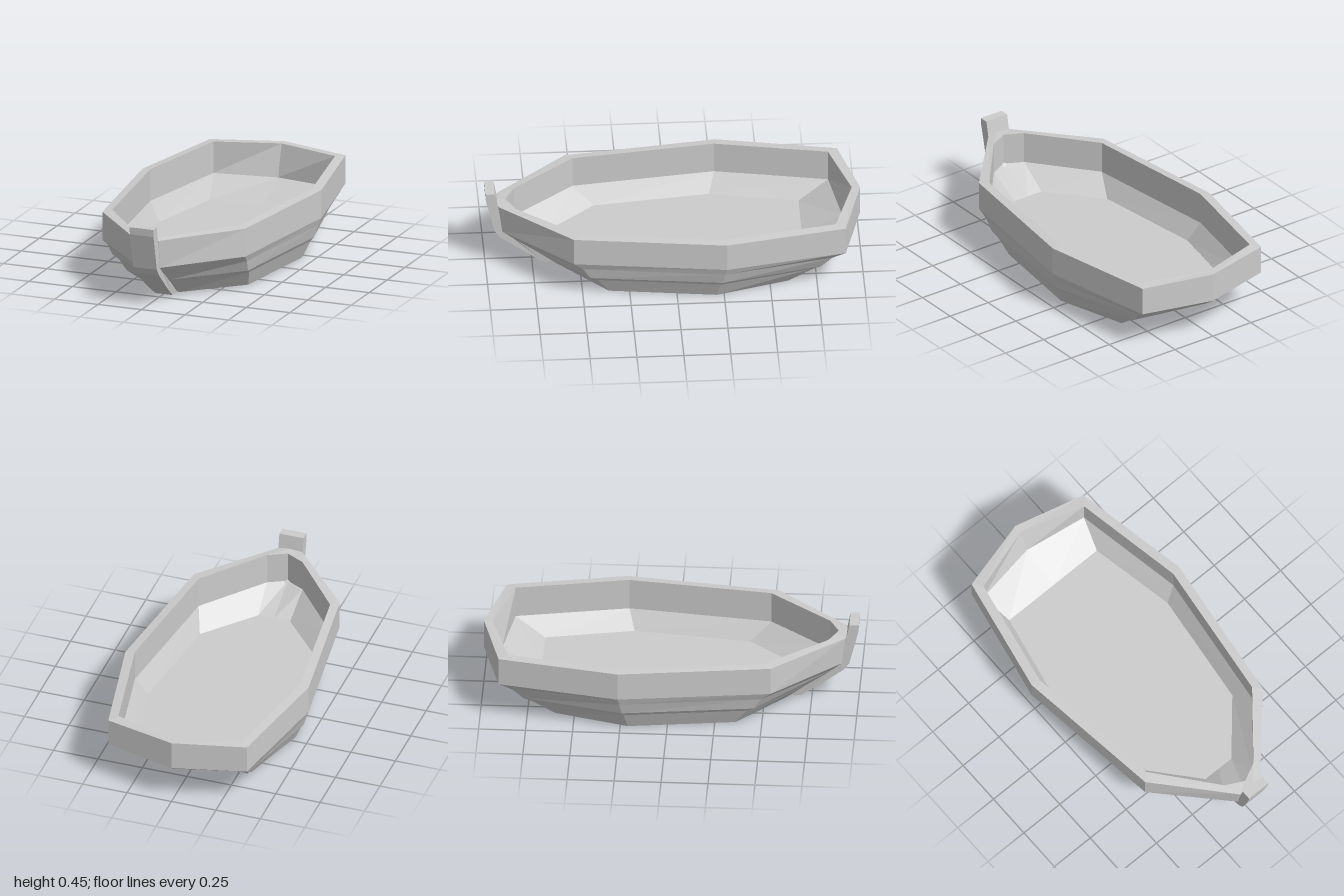
import * as THREE from 'three';

const material = () => new THREE.MeshStandardMaterial({ color: 0xcccccc, flatShading: true });

function meshFrom(positions, name) {
  const geometry = new THREE.BufferGeometry();
  geometry.setAttribute('position', new THREE.Float32BufferAttribute(positions, 3));
  geometry.computeVertexNormals();
  const mesh = new THREE.Mesh(geometry, material());
  mesh.name = name;
  return mesh;
}

// Half outline [x, z] from bow centre to stern centre, mirrored to a closed ring.
function ring(y, half, centreY = y) {
  const right = half.map(([x, z]) => [x, x === 0 ? centreY : y, z]);
  const left = right.slice(1, -1).reverse().map(([x, h, z]) => [-x, h, z]);
  return [...right, ...left];
}

// Skin a list of rings and close both ends with fans.
function loft(rings, name) {
  const out = [];
  const n = rings[0].length;
  const tri = (a, b, c) => out.push(...a, ...b, ...c);
  for (let r = 0; r < rings.length - 1; r++) {
    const a = rings[r], b = rings[r + 1];
    for (let i = 0; i < n; i++) {
      const j = (i + 1) % n;
      tri(a[i], a[j], b[j]);
      tri(a[i], b[j], b[i]);
    }
  }
  const first = rings[0], last = rings[rings.length - 1];
  for (let i = 0; i < n; i++) {
    const j = (i + 1) % n;
    tri([0, first[0][1], 0], first[j], first[i]);
    tri([0, last[0][1], 0], last[i], last[j]);
  }
  return meshFrom(out, name);
}

// Hull: up the outside, over the rim, down the inside to the floor.
function createHull() {
  return loft([
    ring(0, [[0, 0.63], [0.07, 0.62], [0.35, 0.36], [0.425, -0.21], [0.31, -0.6], [0, -0.6]]),
    ring(0.09, [[0, 0.75], [0.07, 0.74], [0.38, 0.42], [0.465, -0.23], [0.34, -0.73], [0, -0.73]]),
    ring(0.11, [[0, 0.78], [0.07, 0.77], [0.39, 0.46], [0.48, -0.24], [0.35, -0.77], [0, -0.77]], 0.115),
    ring(0.175, [[0, 0.88], [0.07, 0.86], [0.4, 0.5], [0.5, -0.25], [0.37, -0.83], [0, -0.945]]),
    ring(0.215, [[0, 0.93], [0.07, 0.91], [0.41, 0.55], [0.515, -0.26], [0.39, -0.9], [0, -1]]),
    ring(0.37, [[0, 0.95], [0.07, 0.93], [0.41, 0.55], [0.515, -0.26], [0.39, -0.9], [0, -1]], 0.375),
    ring(0.375, [[0, 0.89], [0.1, 0.84], [0.37, 0.51], [0.465, -0.25], [0.35, -0.85], [0, -0.955]]),
    ring(0.2, [[0, 0.89], [0.1, 0.84], [0.37, 0.51], [0.465, -0.25], [0.35, -0.85], [0, -0.905]]),
    ring(0.1, [[0, 0.67], [0.09, 0.67], [0.325, 0.4], [0.4, -0.22], [0.305, -0.69], [0, -0.69]]),
  ], 'hull');
}

// Stem post: a bent side profile, narrower towards the keel.
function createStem() {
  const profile = [
    [0.69, 0], [0.8, 0.08], [0.92, 0.175], [0.95, 0.215], [0.998, 0.41], [1, 0.45],
    [0.95, 0.45], [0.935, 0.375], [0.9, 0.215], [0.85, 0.175], [0.74, 0.09], [0.62, 0],
  ];
  const shape = new THREE.Shape(profile.map(([z, y]) => new THREE.Vector2(z, y)));
  const geometry = new THREE.ExtrudeGeometry(shape, { depth: 2, bevelEnabled: false });
  geometry.translate(0, 0, -1).rotateY(-Math.PI / 2);
  const p = geometry.attributes.position;
  for (let i = 0; i < p.count; i++) {
    const halfWidth = 0.05 + 0.018 * Math.min(1, p.getY(i) / 0.175);
    p.setX(i, Math.sign(p.getX(i)) * halfWidth);
  }
  geometry.computeVertexNormals();
  const mesh = new THREE.Mesh(geometry, material());
  mesh.name = 'stemPost';
  return mesh;
}

export function createModel() {
  const group = new THREE.Group();
  group.name = 'rowingBoat';
  group.add(createHull(), createStem());
  return group;
}
